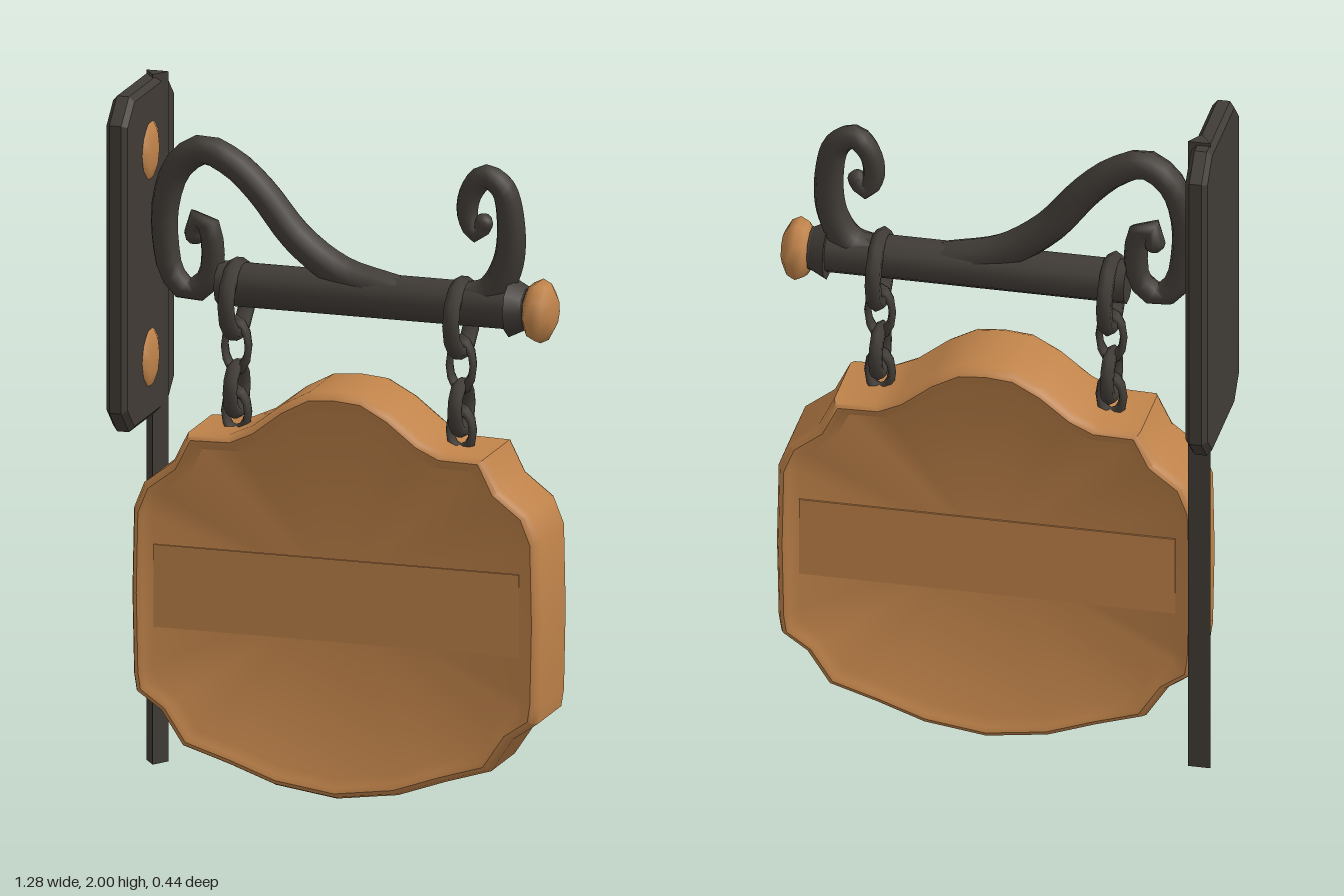
import * as THREE from 'three';
import { toCreasedNormals } from 'three/addons/utils/BufferGeometryUtils.js';

const iron = new THREE.MeshStandardMaterial({ color: 0x403b36 });
iron.name = 'dark iron';
const wood = new THREE.MeshStandardMaterial({ color: 0xc0834a });
wood.name = 'warm wood';

const MID_Z = 0.035; // depth of the bar, chains and sign

function part(parent, name, geometry, material, x = 0, y = 0, z = 0) {
  const mesh = new THREE.Mesh(geometry, material);
  mesh.name = name;
  mesh.position.set(x, y, z);
  parent.add(mesh);
  return mesh;
}

// Tube along a front-facing path whose radius narrows from r0 to r1
function taperedTube(points, r0, r1) {
  const curve = new THREE.CatmullRomCurve3(points.map(([x, y]) => new THREE.Vector3(x, y, 0)));
  const steps = 36, sides = 8;
  const geo = new THREE.TubeGeometry(curve, steps, 1, sides);
  const pos = geo.attributes.position, v = new THREE.Vector3();
  for (let i = 0; i < pos.count; i++) {
    const t = Math.floor(i / (sides + 1)) / steps;
    const c = curve.getPointAt(t);
    v.fromBufferAttribute(pos, i).sub(c).multiplyScalar(r0 + (r1 - r0) * t).add(c);
    pos.setXYZ(i, v.x, v.y, v.z);
  }
  return geo;
}

function scroll(parent, name, points, r0, r1) {
  part(parent, name, taperedTube(points, r0, r1), iron, 0, 0, MID_Z);
  const [x, y] = points[points.length - 1];
  part(parent, name + 'Tip', new THREE.SphereGeometry(r1, 8, 6), iron, x, y, MID_Z);
}

// Sign board: the outline is swept through a rim profile from back to front
function boardGeometry() {
  const half = [
    [0, 1.185], [0.08, 1.178], [0.16, 1.135], [0.25, 1.065], [0.32, 1.033], [0.44, 1.03],
    [0.485, 0.94], [0.57, 0.875], [0.6, 0.8], [0.605, 0.56], [0.6, 0.32], [0.592, 0.27],
    [0.52, 0.22], [0.455, 0.122], [0.32, 0.08], [0.18, 0.03], [0, 0.005],
  ];
  const left = half.slice(1, -1).map(([x, y]) => [-x, y]);
  const outline = [...left, ...half.slice().reverse()];
  const n = outline.length, cy = 0.6;
  const front = [[1, 0.105], [0.985, 0.128], [0.965, 0.135], [0.94, 0.13], [0.9, 0.112], [0.001, 0.112]];
  const rings = [...front.map(([s, z]) => [s, -z]).reverse(), ...front];
  const verts = [], index = [];
  for (const [s, z] of rings) for (const [x, y] of outline) verts.push(x * s, cy + (y - cy) * s, z);
  for (let k = 0; k < rings.length - 1; k++) {
    for (let i = 0; i < n; i++) {
      const j = (i + 1) % n, a = k * n + i, b = k * n + j, c = b + n, d = a + n;
      index.push(a, b, c, a, c, d);
    }
  }
  const geo = new THREE.BufferGeometry();
  geo.setAttribute('position', new THREE.Float32BufferAttribute(verts, 3));
  geo.setIndex(index);
  return toCreasedNormals(geo, 0.75);
}

// Wall plate with cut corners
function plateGeometry() {
  const w = 0.205, h = 0.47, c = 0.06;
  const shape = new THREE.Shape([
    [w, h - c], [w - c, h], [c - w, h], [-w, h - c], [-w, c - h], [c - w, -h], [w - c, -h], [w, c - h],
  ].map(([x, y]) => new THREE.Vector2(x, y)));
  const geo = new THREE.ExtrudeGeometry(shape, {
    depth: 0.035, bevelThickness: 0.014, bevelSize: 0.016, bevelSegments: 1,
  });
  return geo.translate(0, 0, -0.0175).rotateY(Math.PI / 2);
}

// One oval link; side links face along x
function link(parent, name, x, y, halfW, halfH, thick, sideways) {
  const geo = new THREE.TorusGeometry(1 - thick / halfH, thick / halfH, 6, 12);
  geo.scale(halfW, halfH, halfH);
  if (sideways) geo.rotateY(Math.PI / 2);
  part(parent, name, geo, iron, x, y, MID_Z);
}

function chain(x, name) {
  const group = new THREE.Group();
  group.name = name;
  link(group, 'barRing', x, 1.4, 0.12, 0.122, 0.024, true);
  link(group, 'upperLink', x, 1.265, 0.046, 0.09, 0.021, false);
  link(group, 'middleLink', x, 1.14, 0.08, 0.088, 0.021, true);
  link(group, 'lowerLink', x, 1.075, 0.046, 0.08, 0.021, false);
  return group;
}

export function createModel() {
  const model = new THREE.Group();
  model.name = 'hangingSign';

  // Wall plate with two bolts, and the slim three-sided post behind the sign
  part(model, 'wallPlate', plateGeometry(), iron, -0.609, 1.505, 0);
  for (const y of [1.8, 1.2]) {
    const bolt = new THREE.SphereGeometry(1, 7, 6);
    part(model, 'plateBolt', bolt, wood, -0.585, y, 0).scale.set(0.024, 0.09, 0.085);
  }
  const postShape = new THREE.Shape([
    new THREE.Vector2(-0.63, 0.118), new THREE.Vector2(-0.595, 0.07), new THREE.Vector2(-0.565, 0.118),
  ]);
  const post = new THREE.ExtrudeGeometry(postShape, { depth: 2, bevelEnabled: false });
  part(model, 'post', post.rotateX(-Math.PI / 2), iron);

  // Bar with collar and end knob
  const bar = new THREE.CylinderGeometry(0.063, 0.063, 0.91, 10).rotateZ(Math.PI / 2);
  part(model, 'bar', bar, iron, 0.095, 1.443, MID_Z);
  const collar = new THREE.CylinderGeometry(0.085, 0.06, 0.05, 10).rotateZ(Math.PI / 2);
  part(model, 'collar', collar, iron, 0.525, 1.443, MID_Z);
  const knob = new THREE.SphereGeometry(1, 9, 6).rotateZ(Math.PI / 2);
  part(model, 'endKnob', knob, wood, 0.585, 1.438, MID_Z).scale.set(0.05, 0.093, 0.088);

  // Scrolled ironwork
  scroll(model, 'largeScroll', [
    [0.16, 1.455], [0, 1.5], [-0.13, 1.59], [-0.24, 1.72], [-0.32, 1.79], [-0.41, 1.825],
    [-0.485, 1.77], [-0.522, 1.66], [-0.522, 1.55], [-0.5, 1.455], [-0.45, 1.412], [-0.395, 1.45],
    [-0.382, 1.54], [-0.4, 1.615], [-0.43, 1.62], [-0.435, 1.58],
  ], 0.054, 0.032);
  scroll(model, 'smallScroll', [
    [0.36, 1.45], [0.44, 1.48], [0.49, 1.57], [0.498, 1.69], [0.475, 1.785], [0.425, 1.815],
    [0.382, 1.77], [0.37, 1.7], [0.395, 1.65], [0.418, 1.68],
  ], 0.052, 0.028);

  // Chains
  model.add(chain(-0.312, 'rightChain'), chain(0.352, 'leftChain'));

  // Sign board with a slightly tilted middle plank
  part(model, 'signBoard', boardGeometry(), wood, 0.02, 0, MID_Z);
  for (const s of [-1, 1]) {
    const plank = part(model, 'middlePlank', new THREE.BoxGeometry(1.08, 0.28, 0.008), wood, 0.02, 0.56, MID_Z + s * 0.11);
    plank.rotation.x = s * 0.02;
  }
  return model;
}
